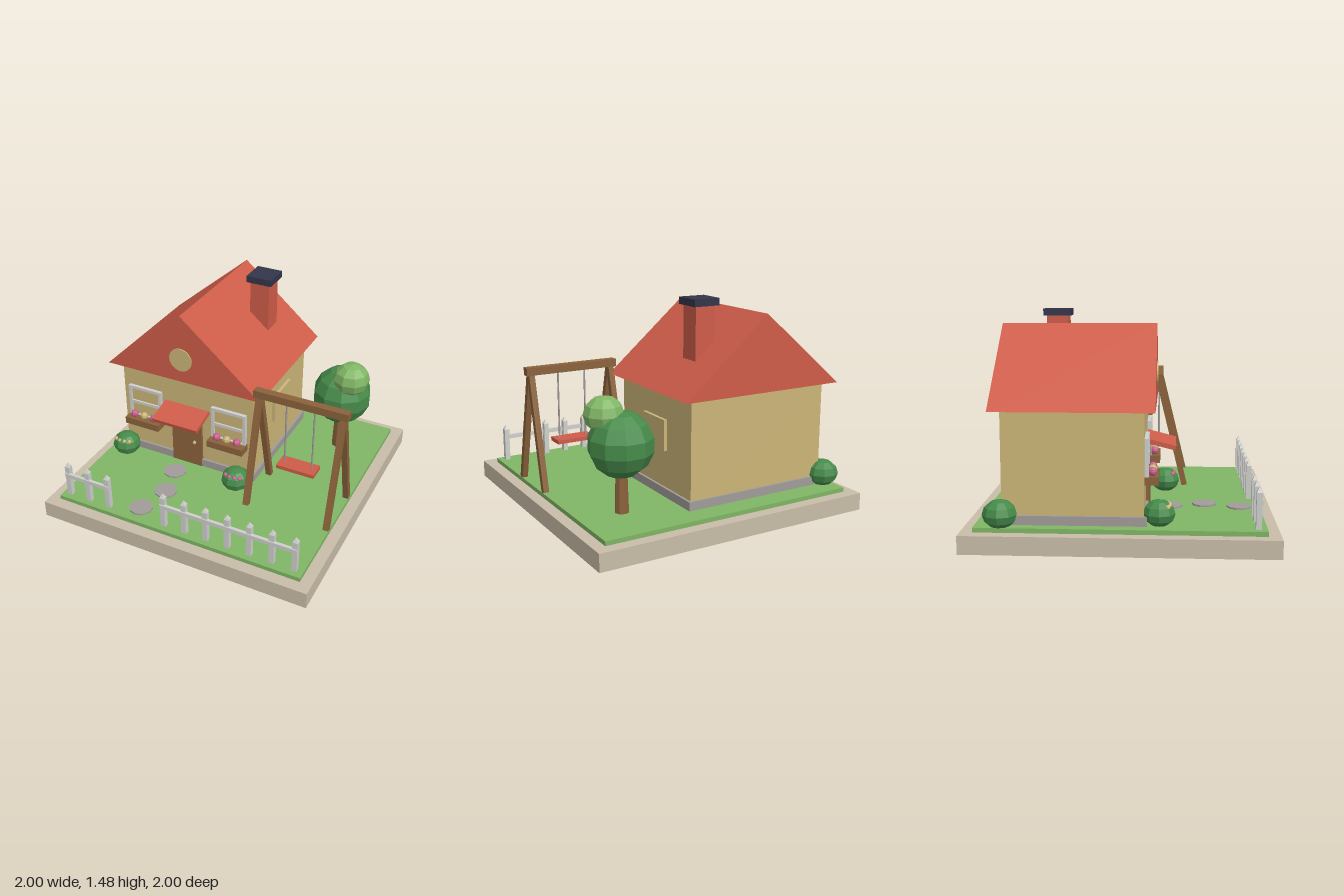
import * as THREE from 'three';

const mat = (name, color) => Object.assign(new THREE.MeshStandardMaterial({ color, flatShading: true }), { name });

export function createModel() {
  const root = new THREE.Group();
  root.name = 'cottageGarden';
  const M = {
    plinth: mat('sandPlinth', 0xc9bda8), grass: mat('grassGreen', 0x80b665),
    wall: mat('creamWall', 0xcbb577), red: mat('roofRed', 0xce5c49),
    wood: mat('woodBrown', 0x8b623b), dark: mat('chimneyDark', 0x33354a),
    white: mat('paleGrey', 0xcfcfcc), stone: mat('stoneGrey', 0xa19c98),
    pink: mat('blossomPink', 0xc9608c), leaf: mat('leafGreen', 0x468b4a),
  };

  // Helpers
  const group = (name, parent = root) => {
    const g = new THREE.Group();
    g.name = name;
    parent.add(g);
    return g;
  };
  const add = (parent, name, geo, material, x, y, z) => {
    const m = new THREE.Mesh(geo, material);
    m.name = name;
    m.position.set(x, y, z);
    parent.add(m);
    return m;
  };
  // Box given by its minimum and maximum along each axis
  const box = (parent, name, material, x0, x1, y0, y1, z0, z1) =>
    add(parent, name, new THREE.BoxGeometry(x1 - x0, y1 - y0, z1 - z0), material,
      (x0 + x1) / 2, (y0 + y1) / 2, (z0 + z1) / 2);
  const ball = (parent, name, material, r, x, y, z, w = 8, h = 6) =>
    add(parent, name, new THREE.SphereGeometry(r, w, h), material, x, y, z);

  // Ground
  box(root, 'plinth', M.plinth, -1, 1, 0, 0.12, -1, 1);
  box(root, 'lawn', M.grass, -0.92, 0.92, 0.12, 0.15, -0.92, 0.92);
  for (const [x, z] of [[-0.335, 0.78], [-0.275, 0.545], [-0.33, 0.315]])
    add(root, 'steppingStone', new THREE.CylinderGeometry(0.083, 0.083, 0.012, 10), M.stone, x, 0.156, z);

  // House body
  const house = group('house');
  const cx = -0.303;
  box(house, 'foundation', M.stone, -0.845, 0.24, 0.15, 0.21, -0.765, 0.168);
  box(house, 'walls', M.wall, -0.828, 0.222, 0.15, 0.88, -0.75, 0.15);

  // Gable roof as a solid prism
  const gable = new THREE.Shape([
    new THREE.Vector2(-0.603, 0), new THREE.Vector2(0.603, 0), new THREE.Vector2(0, 0.513)]);
  add(house, 'roof', new THREE.ExtrudeGeometry(gable, { depth: 1.037, bevelEnabled: false }),
    M.red, cx, 0.878, -0.817);
  const attic = add(house, 'atticWindow', new THREE.CylinderGeometry(0.087, 0.087, 0.009, 24), M.wall, cx, 1.055, 0.2235);
  attic.rotation.x = Math.PI / 2;

  // Chimney
  box(house, 'chimney', M.red, -0.075, 0.07, 0.95, 1.435, -0.553, -0.403);
  box(house, 'chimneyCap', M.dark, -0.097, 0.092, 1.43, 1.478, -0.574, -0.385);

  // Door and canopy
  box(house, 'door', M.wood, -0.423, -0.183, 0.152, 0.552, 0.14, 0.175);
  ball(house, 'doorKnob', M.wall, 0.014, -0.235, 0.355, 0.183);
  const canopy = add(house, 'doorCanopy', new THREE.BoxGeometry(0.358, 0.03, 0.2), M.red, cx, 0.605, 0.25);
  canopy.rotation.x = 0.25;

  // Front windows with flower boxes
  for (const x of [-0.645, 0.037]) {
    const win = group('frontWindow', house);
    box(win, 'pane', M.wall, x - 0.125, x + 0.125, 0.44, 0.69, 0.145, 0.163);
    for (const s of [-1, 1])
      box(win, 'frameSide', M.white, x + s * 0.124 - 0.011, x + s * 0.124 + 0.011, 0.44, 0.697, 0.145, 0.178);
    for (const y of [0.45, 0.565, 0.686])
      box(win, 'frameBar', M.white, x - 0.124, x + 0.124, y - 0.011, y + 0.011, 0.145, 0.176);
    box(win, 'flowerBox', M.wood, x - 0.14, x + 0.14, 0.4, 0.452, 0.15, 0.24);
    [M.pink, M.wall, M.pink].forEach((m, i) =>
      ball(win, 'boxFlower', m, 0.029, x + (i - 1) * 0.08, 0.478, 0.2));
  }

  // Side window
  box(house, 'sideWindow', M.wall, 0.21, 0.245, 0.468, 0.682, -0.45, -0.17);

  // Tree
  const tree = group('tree');
  add(tree, 'trunk', new THREE.CylinderGeometry(0.038, 0.048, 0.32, 8), M.wood, 0.615, 0.31, -0.55);
  ball(tree, 'largeCrown', M.leaf, 0.218, 0.617, 0.603, -0.55, 10, 7);
  ball(tree, 'smallCrown', M.grass, 0.134, 0.7, 0.793, -0.485, 9, 6).scale.y = 0.9;

  // Bushes, the front ones in blossom
  const bush = (x, z, r, blossom) => {
    const g = group('bush');
    ball(g, 'foliage', M.leaf, r, x, 0.225, z, 9, 6).scale.y = 0.84;
    if (!blossom) return;
    for (const dx of [-0.055, -0.018, 0.02, 0.056])
      ball(g, 'blossom', blossom, 0.017, x + dx, 0.275, z + 0.07 - Math.abs(dx) * 0.3, 7, 5);
  };
  bush(-0.785, 0.245, 0.104, M.wall);
  bush(0.147, 0.275, 0.104, M.pink);
  bush(-0.86, -0.755, 0.112);

  // Swing
  const swing = group('swing');
  const sz = 0.222;
  box(swing, 'topBeam', M.wood, 0.263, 0.935, 0.93, 0.984, sz - 0.028, sz + 0.028);
  for (const x of [0.3, 0.898])
    for (const s of [-1, 1]) {
      const spread = 0.195, height = 0.8;
      const leg = add(swing, 'swingLeg', new THREE.BoxGeometry(0.04, Math.hypot(spread, height), 0.04),
        M.wood, x, 0.15 + height / 2, sz + s * spread / 2);
      leg.rotation.x = -s * Math.atan2(spread, height);
    }
  for (const x of [0.498, 0.698])
    add(swing, 'rope', new THREE.CylinderGeometry(0.006, 0.006, 0.5, 6), M.stone, x, 0.69, sz);
  box(swing, 'swingSeat', M.red, 0.46, 0.736, 0.43, 0.457, sz - 0.062, sz + 0.062);

  // Fence runs: first post x, post count
  const postTip = new THREE.ConeGeometry(0.0255, 0.035, 4).rotateY(Math.PI / 4);
  for (const [x0, n] of [[-0.863, 3], [-0.101, 7]]) {
    const fence = group('fence');
    for (let i = 0; i < n; i++) {
      const x = x0 + i * 0.16;
      box(fence, 'post', M.white, x - 0.018, x + 0.018, 0.15, 0.387, 0.844, 0.88);
      add(fence, 'postTip', postTip, M.white, x, 0.4045, 0.862);
    }
    box(fence, 'rail', M.white, x0 - 0.015, x0 + (n - 1) * 0.16 + 0.015, 0.307, 0.337, 0.866, 0.888);
  }
  return root;
}
